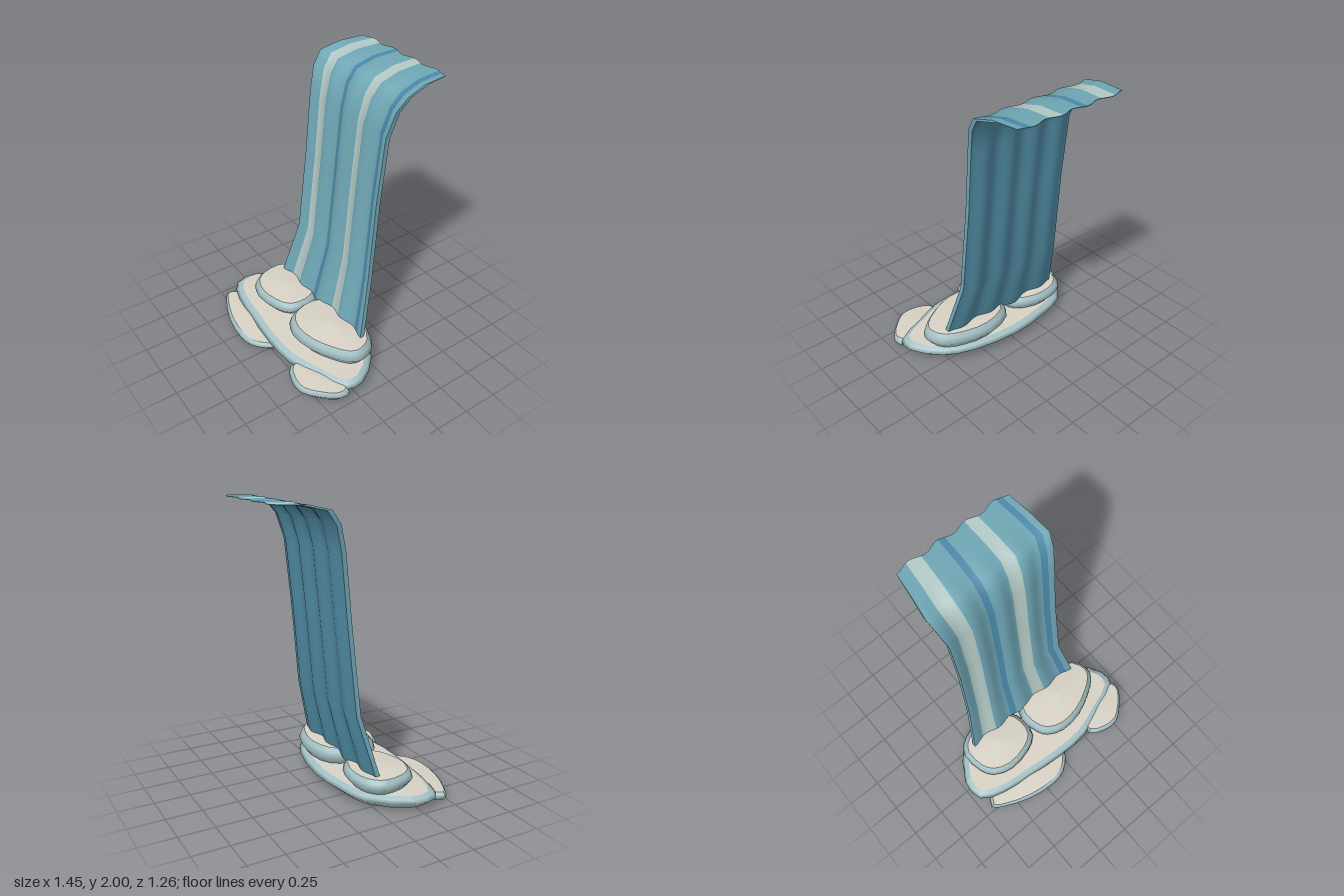
import * as THREE from 'three';

const mat = (color) => new THREE.MeshStandardMaterial({ color, roughness: 0.9 });
const water = mat(0x6ea5b3), pale = mat(0xb2c8c4), deep = mat(0x4a88a8);
const backWater = mat(0x4f8aa2), foamTop = mat(0xd6d0c4), foamSide = mat(0xa3bfc3);

// Grid surface from rows of points; pick(column) chooses the material index
function gridGeometry(rows, pick) {
  const n = rows[0].length, index = [], geo = new THREE.BufferGeometry();
  geo.setAttribute('position', new THREE.Float32BufferAttribute(rows.flat(2), 3));
  for (let c = 0; c < n - 1; c++) {
    const start = index.length;
    for (let r = 0; r < rows.length - 1; r++) {
      const a = r * n + c, b = a + n;
      index.push(a, a + 1, b + 1, a, b + 1, b);
    }
    if (pick) geo.addGroup(start, index.length - start, pick(c));
  }
  geo.setIndex(index);
  geo.computeVertexNormals();
  return geo;
}

function add(group, name, geometry, material) {
  const mesh = new THREE.Mesh(geometry, material);
  mesh.name = name;
  group.add(mesh);
}

// Falling sheet: cross-sections [y, z, left x, right x] from the foot to the lip
const SECTIONS = [
  [0.19, 0.05, -0.505, 0.487], [0.63, -0.063, -0.432, 0.412], [1.25, -0.122, -0.412, 0.395],
  [1.7, -0.167, -0.415, 0.4], [1.87, -0.215, -0.442, 0.425], [1.96, -0.283, -0.458, 0.446],
  [1.996, -0.43, -0.44, 0.425], [2, -0.612, -0.42, 0.405],
];
const COLS = 60;
const PALE = [[6, 13], [37, 43]], DEEP = [[23, 26], [54, 57]];
const inside = (ranges, c) => ranges.some(([a, b]) => c >= a && c < b);
const stripe = (c) => (inside(PALE, c) ? 1 : inside(DEEP, c) ? 2 : 0);

function sheetRows(dy, dz) {
  return SECTIONS.map(([y, z, x0, x1], r) => Array.from({ length: COLS + 1 }, (_, c) => {
    const t = c / COLS;
    const lip = r === SECTIONS.length - 1 ? 0 : dz;
    return [x0 + (x1 - x0) * t, y + dy, z + lip + 0.013 * Math.cos(8 * Math.PI * t)];
  }));
}

function makeSheet() {
  const g = new THREE.Group();
  g.name = 'waterSheet';
  const front = sheetRows(0, 0), back = sheetRows(-0.004, -0.032);
  add(g, 'stripedFront', gridGeometry(front, stripe), [water, pale, deep]);
  add(g, 'plainBack', gridGeometry(back.map((r) => [...r].reverse())), backWater);
  // Thin side edges
  add(g, 'leftEdge', gridGeometry(front.map((r, i) => [r[COLS], back[i][COLS]])), water);
  add(g, 'rightEdge', gridGeometry(front.map((r, i) => [back[i][0], r[0]])), water);
  // Lip and foot edges
  const last = SECTIONS.length - 1;
  add(g, 'lipEdge', gridGeometry([front[last], back[last]]), water);
  add(g, 'footEdge', gridGeometry([back[0], front[0]]), water);
  return g;
}

// Foam pad: an outline (x, z) at its widest height, with a bevelled rim and a shallow crown
function makeFoam({ name, bottom, middle, rim, top, outline, inset = 0.84 }) {
  const g = new THREE.Group();
  g.name = name;
  const curve = new THREE.CatmullRomCurve3(
    outline.map(([x, z]) => new THREE.Vector3(x, 0, z)), true, 'centripetal');
  const pts = curve.getPoints(outline.length * 2);
  const box = new THREE.Box3().setFromPoints(pts);
  const mid = box.getCenter(new THREE.Vector3());
  const size = box.getSize(new THREE.Vector3());
  // Inset by a similar distance on both axes
  const margin = (1 - inset) * Math.min(size.x, size.z);
  const ring = (y, k) => pts.map((p) => [
    mid.x + (p.x - mid.x) * (1 - k * margin / size.x), y,
    mid.z + (p.z - mid.z) * (1 - k * margin / size.z)]);
  const point = (y) => pts.map(() => [mid.x, y, mid.z]);
  const wide = ring(middle, 0), cap = ring(rim, 1), base = ring(bottom, 1.1);
  const shoulder = ring(middle + (rim - middle) * 0.6, 0.4);
  add(g, 'foamRim', gridGeometry([base, wide, shoulder, cap]), foamSide);
  add(g, 'foamCrown', gridGeometry([cap, point(top)]), foamTop);
  add(g, 'foamBase', gridGeometry([point(bottom), base]), foamSide);
  return g;
}

const FOAM = [
  { name: 'wideFoam', bottom: 0.015, middle: 0.065, rim: 0.1, top: 0.115, outline: [
    [-0.72, 0.2], [-0.71, 0.37], [-0.53, 0.45], [-0.3, 0.48], [0, 0.51], [0.25, 0.5], [0.5, 0.41],
    [0.69, 0.32], [0.7, 0.2], [0.55, 0], [0.35, -0.1], [0, -0.16], [-0.3, -0.13], [-0.51, -0.07]] },
  { name: 'upperRightFoam', bottom: 0.1, middle: 0.15, rim: 0.205, top: 0.225, outline: [
    [-0.6, 0.05], [-0.58, 0.22], [-0.52, 0.31], [-0.38, 0.36], [-0.2, 0.33], [-0.09, 0.26],
    [-0.07, 0.12], [-0.12, 0], [-0.28, -0.08], [-0.45, -0.08], [-0.55, -0.03]] },
  { name: 'upperLeftFoam', bottom: 0.1, middle: 0.155, rim: 0.225, top: 0.248, outline: [
    [-0.075, 0.1], [-0.05, 0.26], [0, 0.33], [0.12, 0.38], [0.3, 0.36], [0.45, 0.29], [0.57, 0.2],
    [0.6, 0.12], [0.55, 0], [0.4, -0.08], [0.2, -0.115], [0, -0.05]] },
  { name: 'frontRightFoam', bottom: 0, middle: 0.028, rim: 0.058, top: 0.07, outline: [
    [-0.68, 0.47], [-0.6, 0.53], [-0.4, 0.61], [-0.18, 0.637], [-0.07, 0.61], [0.02, 0.53],
    [0.05, 0.45], [-0.1, 0.35], [-0.4, 0.32], [-0.6, 0.37]] },
  { name: 'frontLeftFoam', bottom: 0.015, middle: 0.045, rim: 0.08, top: 0.09, outline: [
    [0.28, 0.51], [0.4, 0.575], [0.52, 0.575], [0.62, 0.5], [0.71, 0.39], [0.71, 0.31],
    [0.55, 0.27], [0.4, 0.34], [0.3, 0.43]] },
];

export function createModel() {
  const model = new THREE.Group();
  model.name = 'waterfall';
  model.add(makeSheet());
  FOAM.forEach((f) => model.add(makeFoam(f)));
  return model;
}
